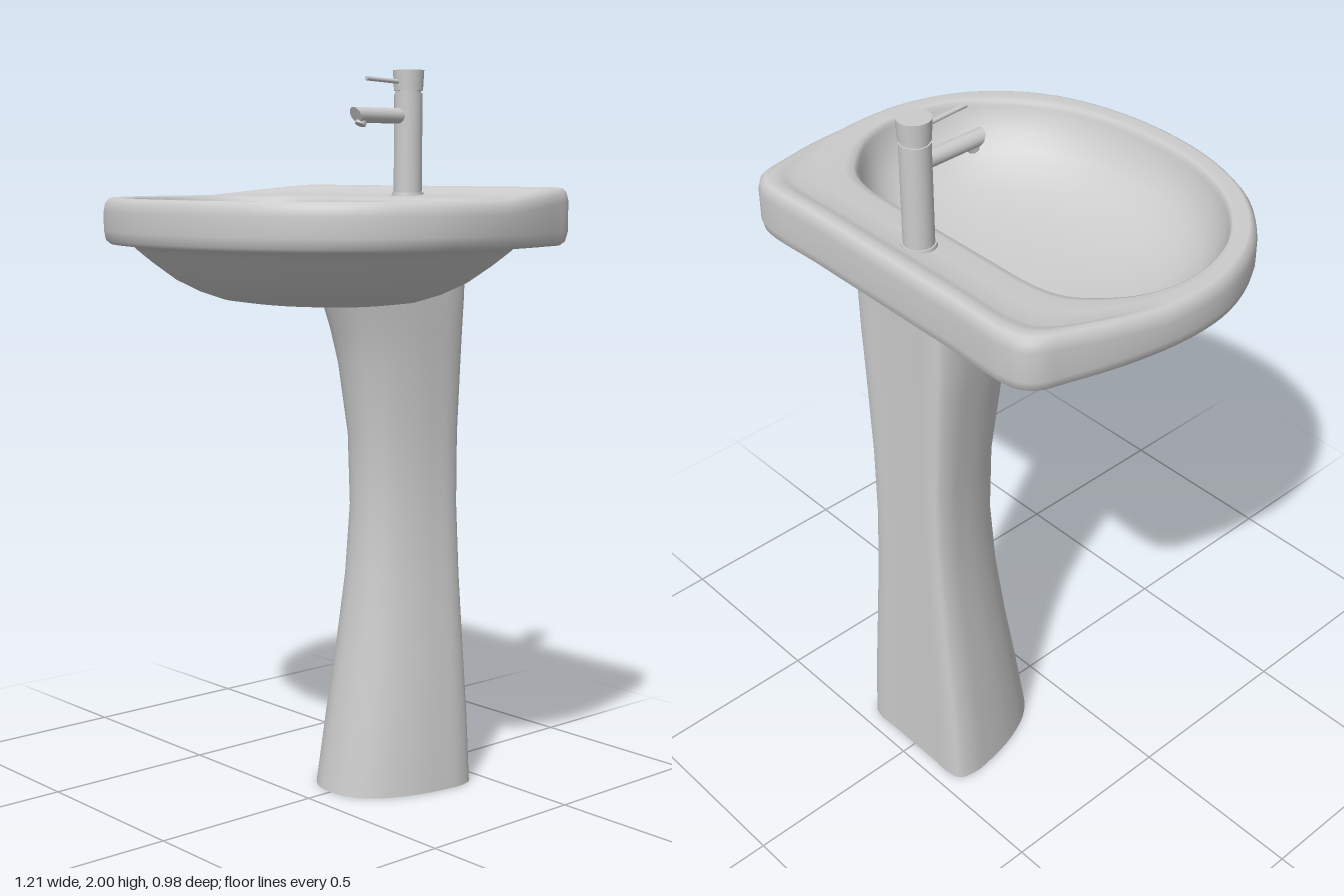
import * as THREE from 'three';

const V = (x, y, z) => new THREE.Vector3(x, y, z);
const COLS = 88;

// Half outline (front centre round to back centre) -> closed smooth loop of [x, z]
function outline(half) {
  const mirrored = half.slice(1, -1).reverse().map(([x, z]) => [-x, z]);
  const curve = new THREE.CatmullRomCurve3([...half, ...mirrored].map(([x, z]) => V(x, 0, z)), true);
  return Array.from({ length: COLS }, (_, i) => {
    const p = curve.getPoint(i / COLS);
    return [p.x, p.z];
  });
}

// Skin a stack of closed rings
function loft(rings) {
  const pos = [], index = [];
  rings.forEach(r => r.forEach(p => pos.push(p.x, p.y, p.z)));
  for (let r = 0; r < rings.length - 1; r++) {
    for (let i = 0; i < COLS; i++) {
      const a = r * COLS + i, b = r * COLS + (i + 1) % COLS;
      index.push(a, b, b + COLS, a, b + COLS, a + COLS);
    }
  }
  const g = new THREE.BufferGeometry();
  g.setAttribute('position', new THREE.Float32BufferAttribute(pos, 3));
  g.setIndex(index);
  g.computeVertexNormals();
  return g;
}

const mix = THREE.MathUtils.lerp;
const scaled = (loop, s, cz) => loop.map(([x, z]) => [x * s, mix(cz, z, s)]);

function basinGeometry() {
  const outer = outline([[0, .49], [.2, .468], [.38, .395], [.52, .26], [.59, .1], [.603, -.05],
    [.58, -.22], [.535, -.38], [.507, -.455], [.46, -.488], [.25, -.49], [0, -.49]]);
  const mouth = outline([[0, .42], [.19, .4], [.35, .33], [.47, .21], [.52, .08], [.525, -.02],
    [.5, -.11], [.45, -.18], [.38, -.24], [.3, -.262], [.15, -.265], [0, -.265]]);
  const under = outline([[0, .42], [.19, .4], [.35, .33], [.49, .21], [.55, .08], [.56, -.05],
    [.54, -.17], [.48, -.28], [.4, -.37], [.3, -.41], [.15, -.43], [0, -.43]]);
  // the rim climbs towards the back
  const lift = z => THREE.MathUtils.clamp((-z - .13) / .32, 0, 1);
  const rings = [];
  const add = (loop, y, rise = 0) =>
    rings.push(loop.map(([x, z], i) => V(x, y + rise * lift(outer[i][1]), z)));

  // underside of the bowl
  for (const [s, y] of [[0, 1.38], [.4, 1.38], [.52, 1.388], [.64, 1.408], [.76, 1.438],
    [.88, 1.482], [.96, 1.515], [1, 1.533]]) add(scaled(under, s, -.04), y);
  // rounded outer edge
  for (const [s, y, rise] of [[.97, 1.535, 0], [.99, 1.545, 0], [1, 1.57, 0], [1, 1.62, .03],
    [.992, 1.642, .03], [.975, 1.653, .03]]) add(scaled(outer, s, 0), y, rise);
  // rim and tap deck
  const inset = scaled(outer, .975, 0);
  for (const [t, y, rise] of [[.1, 1.656, .029], [.2, 1.656, .022], [.32, 1.656, .008],
    [.6, 1.656, .003], [.85, 1.655, .002], [.95, 1.65, 0], [1, 1.638, 0]])
    add(inset.map(([x, z], i) => [mix(x, mouth[i][0], t), mix(z, mouth[i][1], t)]), y, rise);
  // inside of the bowl, falling to the drain
  for (const [s, y] of [[.985, 1.61], [.95, 1.57], [.9, 1.535], [.82, 1.497], [.72, 1.467],
    [.58, 1.442], [.4, 1.424], [.2, 1.413], [.08, 1.41], [0, 1.41]]) add(scaled(mouth, s, -.13), y);
  return loft(rings);
}

function pedestalGeometry() {
  // x = share of half width, z = share of depth from front to back
  const section = outline([[0, 0], [.35, .04], [.66, .19], [.87, .43], [.97, .67], [1, .84],
    [.94, .96], [.78, 1], [.4, 1], [0, 1]]);
  const levels = [[0, .2, -.08, -.457], [.2, .186, -.112, -.455], [.4, .166, -.145, -.453],
    [.6, .147, -.172, -.451], [.8, .134, -.185, -.45], [1, .135, -.176, -.449],
    [1.2, .148, -.142, -.448], [1.3, .156, -.113, -.447], [1.385, .163, -.08, -.447]];
  const rings = levels.map(([y, w, f, b]) => section.map(([x, d]) => V(x * w, y, mix(f, b, d))));
  // the top edge rises behind the bowl
  rings.push(section.map(([x, d]) => V(x * .167, 1.39 + .155 * d * d, mix(-.08, -.447, d))));
  return loft(rings);
}

export function createModel() {
  const model = new THREE.Group();
  const mat = new THREE.MeshStandardMaterial({ color: 0xcccccc });
  const shell = new THREE.MeshStandardMaterial({ color: 0xcccccc, side: THREE.DoubleSide });
  const add = (name, geo, x = 0, y = 0, z = 0, parent = model, material = mat) => {
    const m = new THREE.Mesh(geo, material);
    m.name = name;
    m.position.set(x, y, z);
    parent.add(m);
    return m;
  };

  add('basin', basinGeometry());
  add('pedestal', pedestalGeometry(), 0, 0, 0, model, shell);

  // Drain: rim, plate and a ring of raised petals
  const drain = new THREE.Group();
  drain.name = 'drain';
  drain.position.set(0, 1.415, -.13);
  model.add(drain);
  add('drainPlate', new THREE.CylinderGeometry(.038, .038, .008, 32), 0, 0, 0, drain);
  add('drainRim', new THREE.TorusGeometry(.038, .005, 8, 40), 0, .004, 0, drain).rotation.x = Math.PI / 2;
  add('drainHub', new THREE.CylinderGeometry(.007, .007, .006, 16), 0, .005, 0, drain);
  for (let i = 0; i < 8; i++) {
    const a = i * Math.PI / 4;
    const petal = add('drainPetal', new THREE.CylinderGeometry(.006, .006, .004, 12),
      Math.sin(a) * .021, .005, Math.cos(a) * .021, drain);
    petal.scale.z = 1.8;
    petal.rotation.y = a;
  }

  // Tap: column with foot ring and turning cap
  const tap = new THREE.Group();
  tap.name = 'tap';
  tap.position.z = -.362;
  model.add(tap);
  add('tapFoot', new THREE.CylinderGeometry(.043, .045, .012, 32), 0, 1.662, 0, tap);
  add('tapColumn', new THREE.CylinderGeometry(.039, .039, .285, 32), 0, 1.795, 0, tap);
  add('tapNeck', new THREE.CylinderGeometry(.035, .035, .012, 32), 0, 1.942, 0, tap);
  add('tapCap', new THREE.CylinderGeometry(.043, .04, .055, 32), 0, 1.9725, 0, tap);

  // Spout with a slanted end and a small nozzle
  const spoutGeo = new THREE.CylinderGeometry(.021, .021, .19, 24).rotateX(Math.PI / 2);
  const p = spoutGeo.attributes.position;
  for (let i = 0; i < p.count; i++) if (p.getZ(i) > 0) p.setZ(i, p.getZ(i) + p.getY(i) * .5);
  spoutGeo.computeVertexNormals();
  add('spout', spoutGeo, 0, 1.876, .1, tap);
  add('nozzle', new THREE.CylinderGeometry(.015, .015, .018, 20), 0, 1.858, .175, tap).rotation.x = -.45;

  // Lever
  const lever = add('lever', new THREE.CylinderGeometry(.006, .006, .125, 12), 0, 1.971, .095, tap);
  lever.rotation.x = Math.PI / 2 - .05;

  return model;
}
